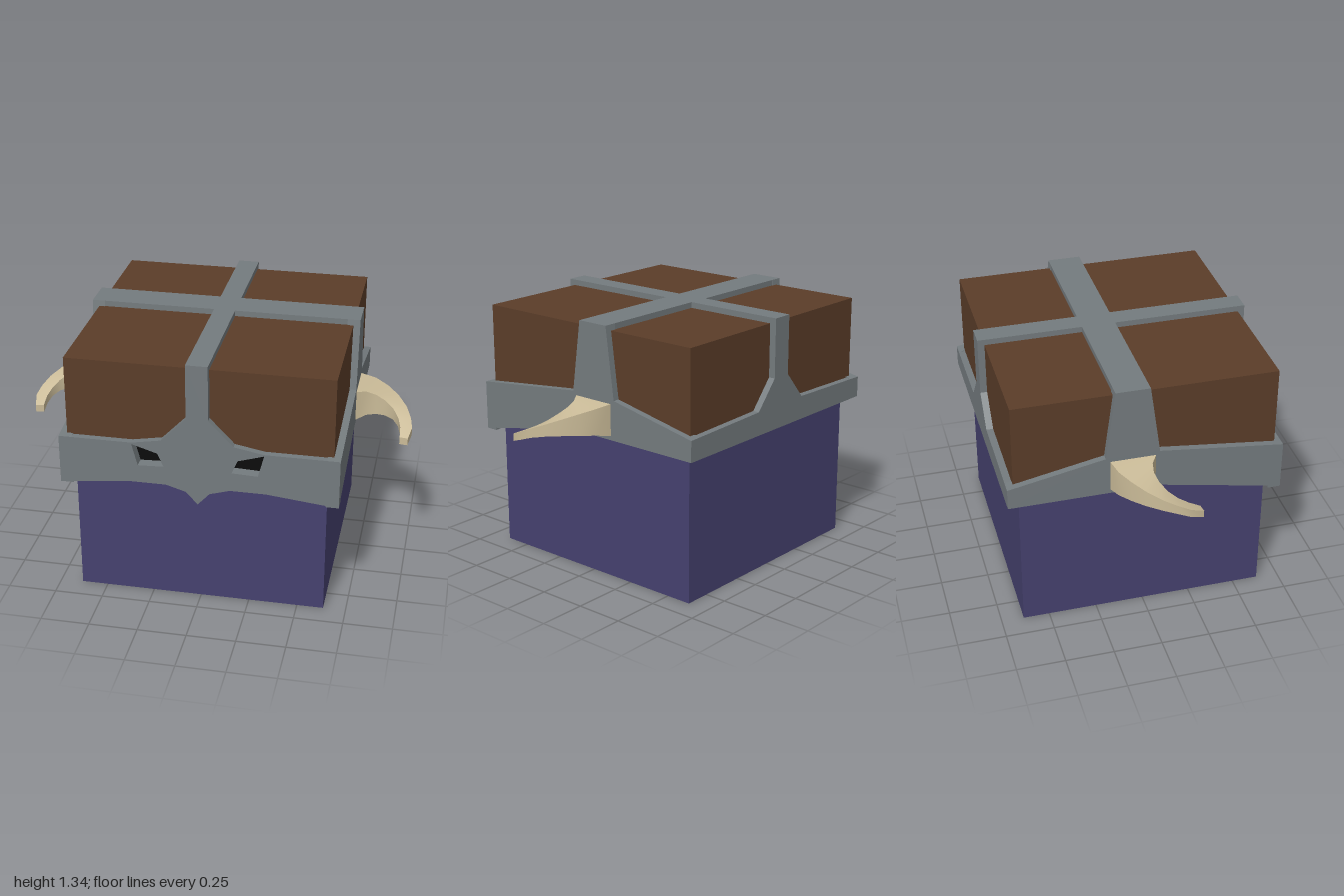
import * as THREE from 'three';
import { toCreasedNormals } from 'three/addons/utils/BufferGeometryUtils.js';

const mat = (color, extra = {}) => new THREE.MeshStandardMaterial({ color, ...extra });
const skin = mat(0x46416f);
const leather = mat(0x5b3d29);
const steel = mat(0x747b7e);
const bone = mat(0xcabb98);
const black = mat(0x0a0a0a);

const IN = 0.635, OUT = 0.7, TOP = 1.335; // head half width, helmet half width, helmet top

const outline = (pts) => pts.map(([x, y]) => new THREE.Vector2(x, y));
const mirrored = (half) => [...half, ...half.slice().reverse().map(([x, y]) => [-x, y])];

function plate(pts, depth, holes = []) {
  const shape = new THREE.Shape(outline(pts));
  holes.forEach((h) => shape.holes.push(new THREE.Path(outline(h))));
  return new THREE.ExtrudeGeometry(shape, { depth, bevelEnabled: false });
}

// Horn: four-cornered sections swept outwards and forwards
// each row: outer x, outer z, inner x, inner z, top y, bottom y
const HORN = [
  [0.70, -0.19, 0.70, 0.04, 0.948, 0.785],
  [0.78, -0.17, 0.75, 0.008, 0.938, 0.803],
  [0.85, -0.125, 0.80, 0.0, 0.92, 0.81],
  [0.91, -0.07, 0.85, 0.012, 0.897, 0.812],
  [0.96, 0.0, 0.895, 0.042, 0.868, 0.807],
  [0.988, 0.07, 0.925, 0.085, 0.84, 0.793],
  [1.0, 0.13, 0.94, 0.135, 0.815, 0.773],
  [0.985, 0.198, 0.943, 0.192, 0.787, 0.748],
];
function hornGeometry(side) {
  const pos = [], idx = [];
  for (const [ox, oz, ix, iz, t, b] of HORN) {
    pos.push(side * ox, t, oz, side * ox, b, oz, side * ix, b, iz, side * ix, t, iz);
  }
  const quad = (a, b, c, d) => (side > 0
    ? idx.push(a, b, c, a, c, d)
    : idx.push(a, c, b, a, d, c));
  const last = (HORN.length - 1) * 4;
  for (let r = 0; r < last; r += 4) {
    for (let k = 0; k < 4; k++) {
      const n = (k + 1) % 4;
      quad(r + k, r + 4 + k, r + 4 + n, r + n);
    }
  }
  quad(last + 3, last + 2, last + 1, last);
  const geo = new THREE.BufferGeometry();
  geo.setAttribute('position', new THREE.Float32BufferAttribute(pos, 3));
  geo.setIndex(idx);
  return toCreasedNormals(geo, 0.7);
}

export function createModel() {
  const model = new THREE.Group();
  const add = (name, geo, material, x = 0, y = 0, z = 0) => {
    const mesh = new THREE.Mesh(geo, material);
    mesh.name = name;
    mesh.position.set(x, y, z);
    model.add(mesh);
    return mesh;
  };

  // Head block
  add('head', new THREE.BoxGeometry(2 * IN, 0.85, 2 * IN), skin, 0, 0.425, 0);

  // Leather cap, its hidden underside following the band
  const cap = plate([[0.665, 0.889], [0.06, 0.87], [-0.665, 0.82], [-0.665, 1.305], [0.665, 1.305]], 1.33);
  cap.rotateY(-Math.PI / 2).translate(0.665, 0, 0);
  add('cap', cap, leather);

  // Front plate with nose guard and slanted eye holes
  const eye = [[0.33, 0.885], [0.2, 0.845], [0.17, 0.775], [0.3, 0.77]];
  const eyeR = eye.map(([x, y]) => [-x, y]).reverse();
  const front = mirrored([
    [0, 0.58], [0.06, 0.645], [0.16, 0.675], [0.34, 0.675], [OUT, 0.637],
    [OUT, 0.893], [0.33, 0.893], [0.18, 0.92], [0.055, 1.05], [0.055, TOP],
  ]).slice(0, -1);
  add('frontPlate', plate(front, OUT - IN, [eye, eyeR]), steel, 0, 0, IN);
  for (const s of [1, -1]) {
    add(s > 0 ? 'leftEye' : 'rightEye', new THREE.BoxGeometry(0.18, 0.14, 0.01), black, s * 0.25, 0.825, IN + 0.002);
  }

  // Back plate
  const back = mirrored([[OUT, 0.763], [OUT, 0.872], [0.18, 0.885], [0.055, 1.03], [0.055, TOP]]);
  add('backPlate', plate(back, OUT - IN), steel, 0, 0, -OUT);

  // Side plates, each rising into the cross strap
  const sidePts = [
    [OUT, 0.637], [0.07, 0.763], [-OUT, 0.763], [-OUT, 0.872], [-0.212, 0.968],
    [-0.165, TOP], [0.008, TOP], [0.06, 0.968], [OUT, 0.893],
  ];
  for (const s of [1, -1]) {
    const geo = plate(sidePts, OUT - IN).rotateY(-Math.PI / 2);
    add(s > 0 ? 'leftPlate' : 'rightPlate', geo, steel, s > 0 ? OUT : -IN, 0, 0);
    add(s > 0 ? 'leftHorn' : 'rightHorn', hornGeometry(s), bone);
  }

  // Straps crossing over the top
  add('lengthStrap', new THREE.BoxGeometry(0.11, 0.06, 2 * OUT), steel, 0, TOP - 0.03, 0);
  add('crossStrap', new THREE.BoxGeometry(2 * OUT, 0.06, 0.173), steel, 0, TOP - 0.03, -0.0785);

  return model;
}
